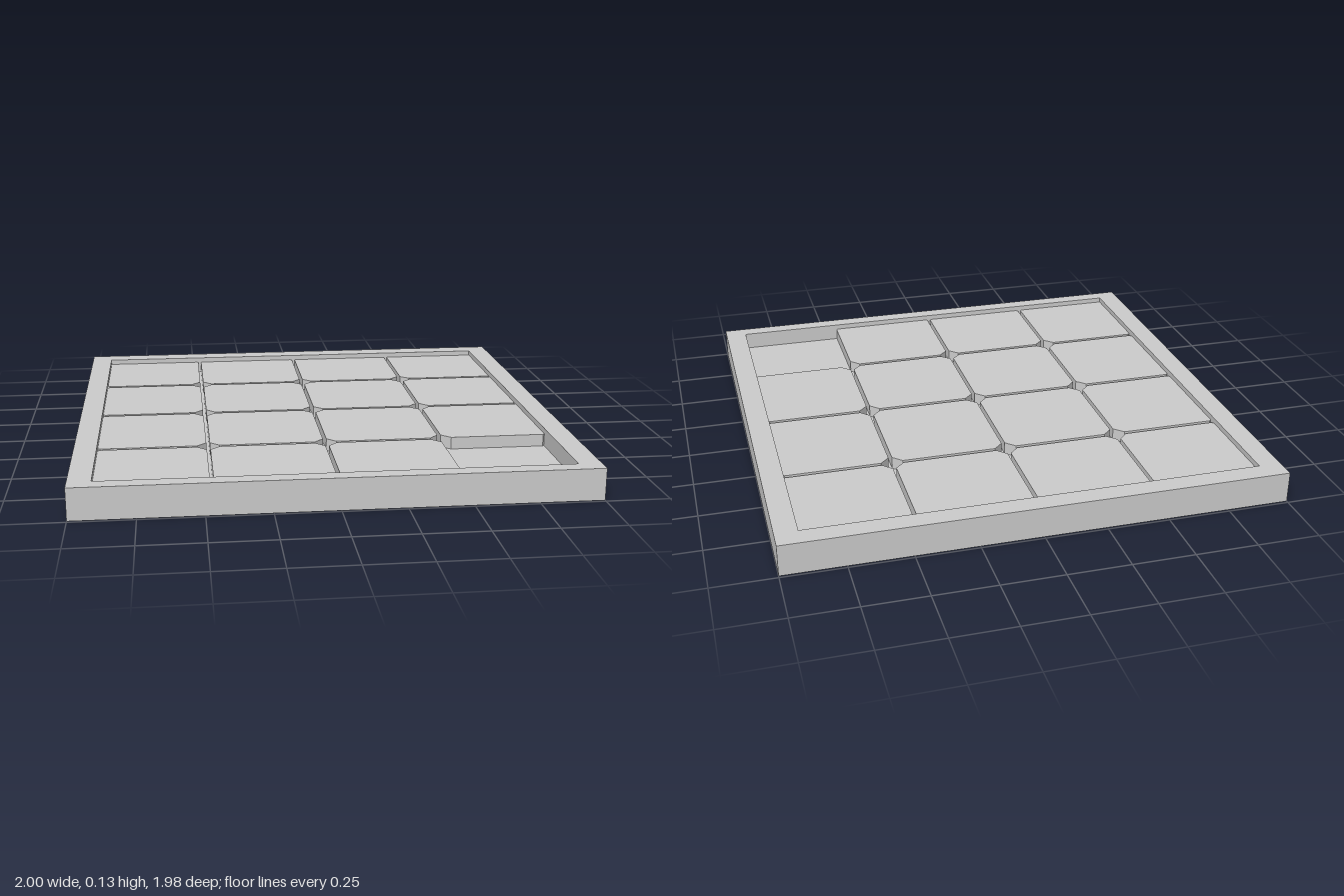
import * as THREE from 'three';

const HEIGHT = 0.127, FLOOR = 0.055, TILE_TOP = 0.105;
const material = new THREE.MeshStandardMaterial({ color: 0xcccccc, flatShading: true });

// Rectangle outline with optional cut corners, centred on (cx, cy)
function outline(Type, cx, cy, w, h, cut = 0) {
  const x = w / 2, y = h / 2, c = cut;
  const points = c
    ? [[-x + c, -y], [x - c, -y], [x, -y + c], [x, y - c], [x - c, y], [-x + c, y], [-x, y - c], [-x, -y + c]]
    : [[-x, -y], [x, -y], [x, y], [-x, y]];
  return new Type(points.map(([px, py]) => new THREE.Vector2(px + cx, py + cy)));
}

// Lay a shape flat and raise it from y0 to y1 (shape y becomes -z)
function slab(name, shape, y0, y1) {
  const geometry = new THREE.ExtrudeGeometry(shape, { depth: y1 - y0, bevelEnabled: false });
  geometry.rotateX(-Math.PI / 2).translate(0, y0, 0);
  const mesh = new THREE.Mesh(geometry, material);
  mesh.name = name;
  return mesh;
}

export function createModel() {
  const model = new THREE.Group();
  model.name = 'slidingPuzzle';

  // Tray: square rim, a little narrower at the front, around a sunken floor
  const opening = [0, -0.01, 1.82, 1.832];
  const rim = outline(THREE.Shape, 0, 0, 2, 1.98);
  rim.holes.push(outline(THREE.Path, ...opening));
  model.add(slab('trayRim', rim, 0, HEIGHT));
  model.add(slab('trayFloor', outline(THREE.Shape, ...opening), 0, FLOOR));

  // Fifteen tiles with cut corners, outer edges tucked under the rim;
  // the front left place stays empty
  const tiles = new THREE.Group();
  tiles.name = 'tiles';
  const tileShape = outline(THREE.Shape, 0, 0, 0.459, 0.461, 0.037);
  for (let row = 0; row < 4; row++) {
    for (let col = 0; col < 4; col++) {
      if (row === 3 && col === 3) continue;
      const tile = slab(`tile${row * 4 + col + 1}`, tileShape, FLOOR, TILE_TOP);
      tile.position.set((col - 1.5) * 0.473 + 0.001, 0, (row - 1.5) * 0.477 + 0.009);
      tiles.add(tile);
    }
  }
  model.add(tiles);
  return model;
}
